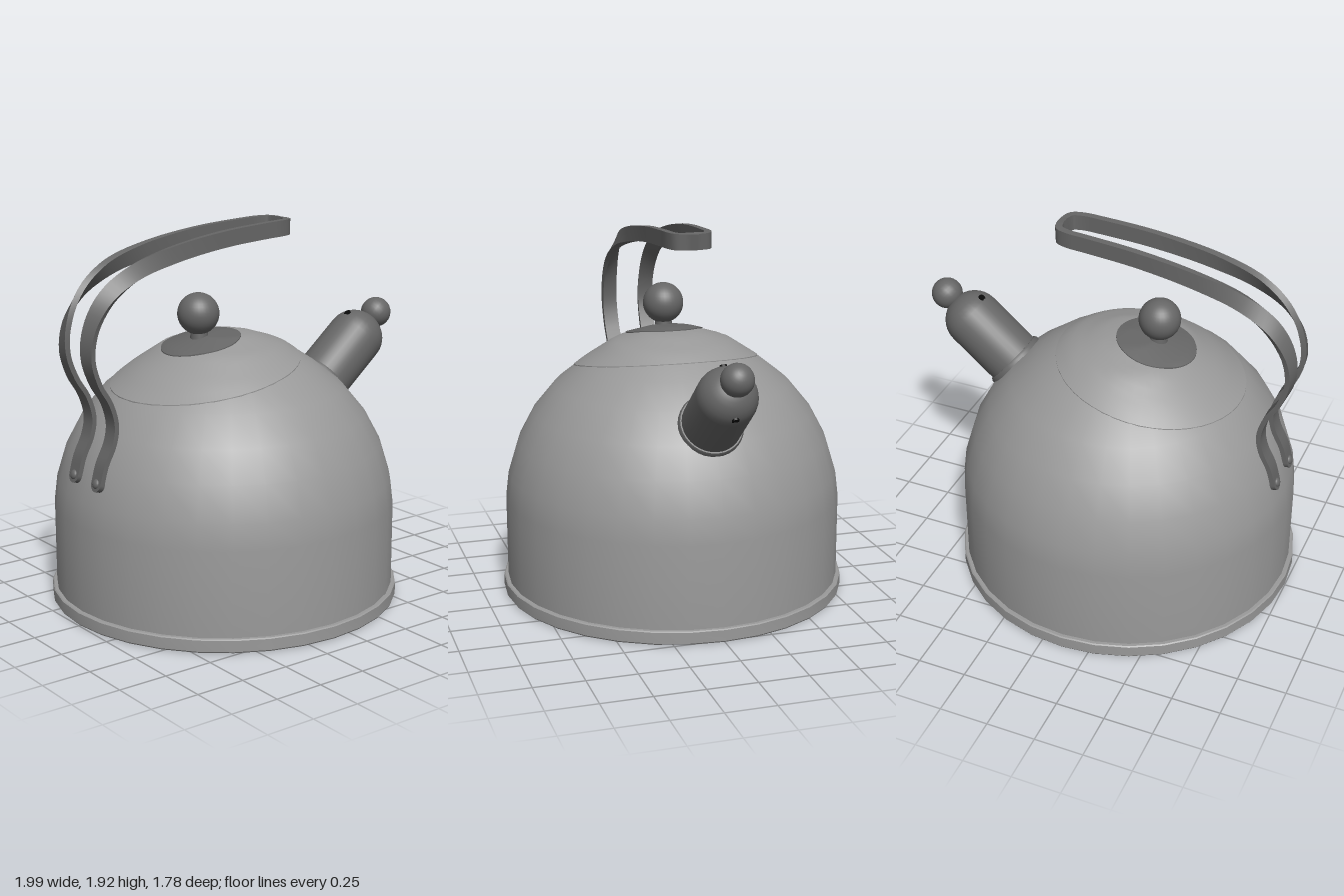
import * as THREE from 'three';
import { toCreasedNormals } from 'three/addons/utils/BufferGeometryUtils.js';

const steel = new THREE.MeshStandardMaterial({ color: 0x999999 });
const dark = new THREE.MeshStandardMaterial({ color: 0x666666 });
const black = new THREE.MeshStandardMaterial({ color: 0x0a0a0a });
const BODY_X = -0.11;

// Dome profile: radius, height
const DOME = [[0.868, 0.07], [0.868, 0.5], [0.852, 0.63], [0.8, 0.8], [0.72, 0.95], [0.605, 1.09],
  [0.47, 1.197], [0.31, 1.303], [0.15, 1.355], [0, 1.368]];

const v2 = (pts) => pts.map(([x, y]) => new THREE.Vector2(x, y));
const lathe = (pts) => toCreasedNormals(new THREE.LatheGeometry(v2(pts), 32), 0.6);

function add(parent, name, geometry, material, x = 0, y = 0, z = 0) {
  const mesh = new THREE.Mesh(geometry, material);
  mesh.name = name;
  mesh.position.set(x, y, z);
  parent.add(mesh);
  return mesh;
}

function domeHeight(r) {
  for (let i = DOME.length - 1; i > 0; i--) {
    const [r0, y0] = DOME[i], [r1, y1] = DOME[i - 1];
    if (r <= r1) return y0 + (y1 - y0) * (r - r0) / (r1 - r0);
  }
  return DOME[0][1];
}

// Round plate laid over the dome, off its axis, with a short skirt
function domePatch(cx, radius, lift) {
  const pts = [[1, 0], [1, 1]];
  for (let i = 11; i >= 0; i--) pts.push([i / 12, 1]);
  const geo = new THREE.LatheGeometry(v2(pts), 48);
  const p = geo.attributes.position;
  for (let i = 0; i < p.count; i++) {
    const x = cx + p.getX(i) * radius, z = p.getZ(i) * radius;
    const up = p.getY(i) > 0.5 ? lift : -0.02;
    p.setXYZ(i, x, domeHeight(Math.hypot(x - BODY_X, z)) + up, z);
  }
  return toCreasedNormals(geo, 0.6);
}

// Flat strip that rises from the back, twists on edge and loops at the front
function handleGeometry() {
  // x, y, z, twist (0 = flat, 1 = on edge)
  const half = [[-0.934, 0.74, 0.1, 0], [-0.908, 0.83, 0.1, 0], [-0.86, 0.93, 0.1, 0], [-0.845, 1.02, 0.1, 0],
    [-0.875, 1.13, 0.102, 0], [-0.935, 1.23, 0.103, 0.02], [-0.975, 1.36, 0.104, 0.08], [-0.955, 1.5, 0.106, 0.2],
    [-0.87, 1.635, 0.11, 0.46], [-0.72, 1.735, 0.113, 0.74], [-0.5, 1.8, 0.112, 0.93], [-0.2, 1.848, 0.106, 1],
    [0.08, 1.868, 0.099, 1], [0.18, 1.872, 0.094, 1], [0.232, 1.873, 0.075, 1], [0.245, 1.873, 0.04, 1], [0.246, 1.873, 0, 1]];
  const mirrored = half.slice(0, -1).reverse().map(([x, y, z, t]) => [x, y, -z, t]);
  const curve = new THREE.CatmullRomCurve3([...half, ...mirrored].map(([x, y, z]) => new THREE.Vector3(x, y, z)));
  const last = half.length - 1, steps = last * 5;
  const rings = [];
  for (let i = 0; i <= steps; i++) {
    const f = i / steps, k = Math.min(Math.floor(f * last), last - 1), s = f * last - k;
    const twist = half[k][3] + (half[k + 1][3] - half[k][3]) * s;
    const angle = twist * Math.PI / 2, thick = 0.012 + 0.006 * twist;
    const c = curve.getPoint(f / 2), T = curve.getTangent(f / 2);
    // The small offset leans the front bar and keeps its direction steady
    const N = new THREE.Vector3(0.02 - T.y, T.x + 0.15, 0);
    N.addScaledVector(T, -N.dot(T)).normalize();
    const W = new THREE.Vector3(0, 0, Math.cos(angle)).addScaledVector(N, -Math.sin(angle));
    W.addScaledVector(T, -W.dot(T)).normalize();
    const D = new THREE.Vector3().crossVectors(T, W);
    rings.push([[1, 1], [-1, 1], [-1, -1], [1, -1]].map(([a, b]) =>
      c.clone().addScaledVector(W, a * 0.04).addScaledVector(D, b * thick)));
  }
  for (let i = steps - 1; i >= 0; i--) rings.push(rings[i].map((p) => new THREE.Vector3(p.x, p.y, -p.z)));
  const pos = [], index = [];
  rings.forEach((ring) => ring.forEach((p) => pos.push(p.x, p.y, p.z)));
  for (let i = 0; i < rings.length - 1; i++) {
    for (let k = 0; k < 4; k++) {
      const a = i * 4 + k, b = i * 4 + (k + 1) % 4;
      index.push(a, b, b + 4, a, b + 4, a + 4);
    }
  }
  const e = (rings.length - 1) * 4;
  index.push(0, 2, 1, 0, 3, 2, e, e + 1, e + 2, e, e + 2, e + 3);
  const geo = new THREE.BufferGeometry();
  geo.setAttribute('position', new THREE.Float32BufferAttribute(pos, 3));
  geo.setIndex(index);
  return toCreasedNormals(geo, 0.7);
}

function createSpout() {
  const spout = new THREE.Group();
  spout.name = 'spout';
  spout.position.set(0.54, 1.03, 0);
  spout.rotation.z = -0.87;
  add(spout, 'spoutCollar', lathe([[0.163, -0.08], [0.163, 0], [0.156, 0.012], [0.14, 0.012]]), dark);
  // Whistle cap with a rounded end
  const cap = [[0.149, 0], [0.149, 0.3]];
  for (let i = 1; i <= 8; i++) {
    const a = i / 8 * Math.PI / 2;
    cap.push([0.149 * Math.cos(a), 0.3 + 0.142 * Math.sin(a)]);
  }
  add(spout, 'whistleCap', lathe(cap), dark);
  add(spout, 'whistleKnob', new THREE.SphereGeometry(0.08, 24, 16), dark, 0.003, 0.488);
  // Steam holes above and below
  add(spout, 'whistleHoles', new THREE.CylinderGeometry(0.018, 0.018, 0.288, 16), black, 0, 0.345)
    .rotation.z = Math.PI / 2;
  return spout;
}

export function createModel() {
  const kettle = new THREE.Group();
  kettle.name = 'kettle';

  // Body, rounded base rim and recessed bottom plate
  add(kettle, 'body', lathe(DOME), steel, BODY_X);
  add(kettle, 'baseRim', lathe([[0.77, 0.045], [0.785, 0.025], [0.81, 0.009], [0.84, 0.001], [0.865, 0], [0.885, 0.003],
    [0.89, 0.01], [0.89, 0.066], [0.884, 0.071], [0.86, 0.072]]), steel, BODY_X);
  add(kettle, 'bottomPlate', new THREE.CircleGeometry(0.775, 32), steel, BODY_X, 0.04).rotation.x = Math.PI / 2;

  // Lid with its knob
  add(kettle, 'lid', domePatch(-0.225, 0.478, 0.004), steel);
  add(kettle, 'knobPlate', domePatch(-0.25, 0.2, 0.009), dark);
  add(kettle, 'knobStem', new THREE.CylinderGeometry(0.04, 0.05, 0.1, 20), dark, -0.26, 1.36);
  add(kettle, 'knob', new THREE.SphereGeometry(0.105, 32, 20), dark, -0.265, 1.475);

  kettle.add(createSpout());

  // Handle with rounded, riveted feet
  add(kettle, 'handle', handleGeometry(), dark);
  for (const side of [1, -1]) {
    const foot = new THREE.Group();
    foot.name = 'handleFoot';
    foot.position.set(-0.933, 0.74, side * 0.1);
    foot.rotation.z = Math.PI / 2 - 0.27;
    add(foot, 'footPad', new THREE.CylinderGeometry(0.04, 0.04, 0.026, 24), dark);
    add(foot, 'rivet', new THREE.SphereGeometry(0.024, 16, 10), dark, 0, 0.012).scale.y = 0.6;
    kettle.add(foot);
  }
  return kettle;
}
